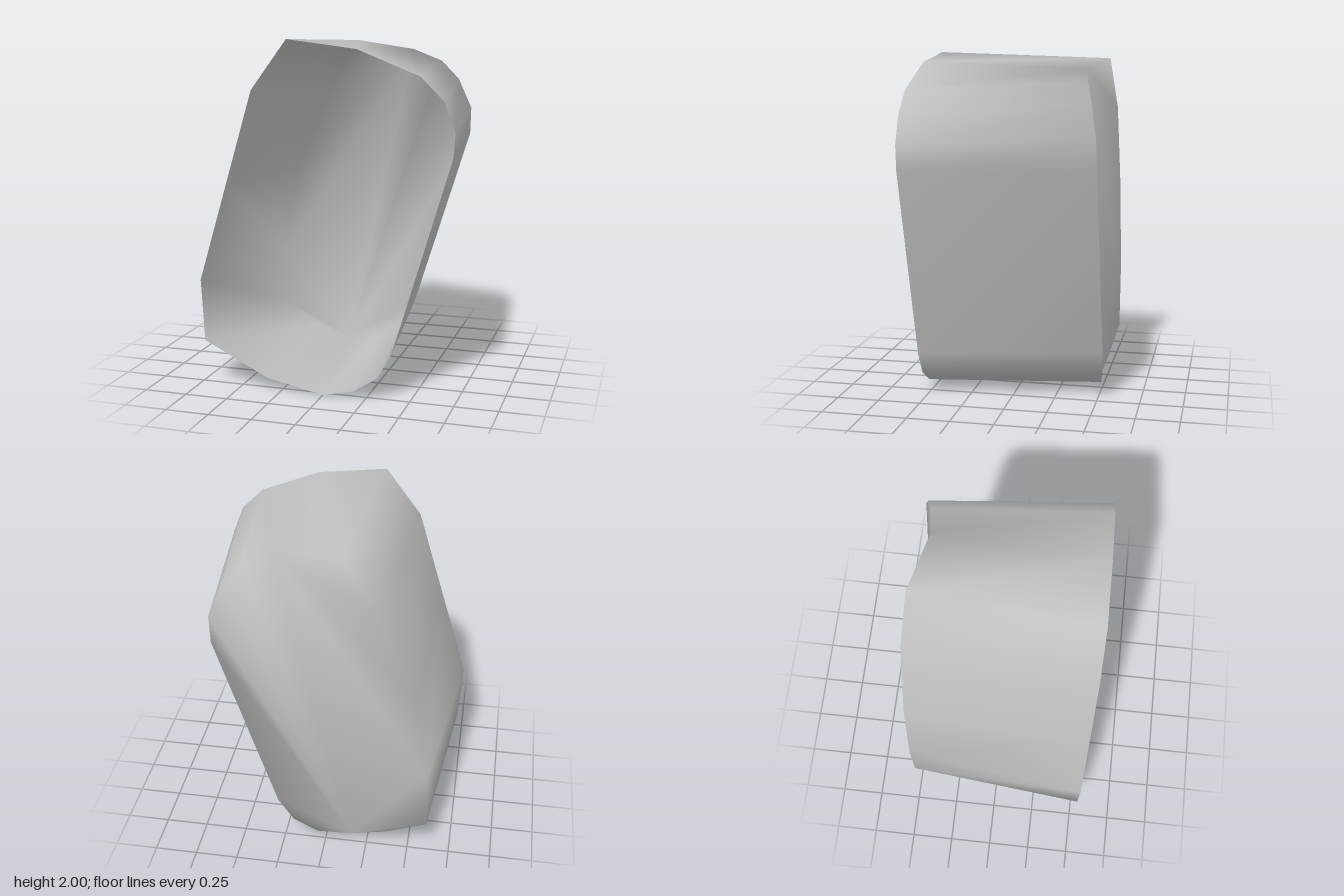
import * as THREE from 'three';

// Matching outlines, clockwise seen from the front: [x, y] at the rim, [x, y, z] at the back edge
const rim = [
  [-0.2, 2], [0.2, 1.95], [0.55, 1.81], [0.68, 1.68], [0.74, 1.52], [0.73, 1.38],
  [0.4, 0.27], [0.32, 0.13], [0.18, 0.04], [0, 0], [-0.34, 0.07], [-0.72, 0.26],
  [-0.74, 0.62], [-0.575, 1.17], [-0.41, 1.72],
];
const backEdge = [
  [-0.1, 1.97, -0.51], [0.28, 1.92, -0.43], [0.45, 1.85, -0.46], [0.55, 1.74, -0.495],
  [0.625, 1.56, -0.53], [0.62, 1.4, -0.535], [0.28, 0.3, -0.535], [0.19, 0.15, -0.525],
  [0.05, 0.05, -0.5], [-0.15, 0.03, -0.47], [-0.36, 0.1, -0.495], [-0.61, 0.23, -0.53],
  [-0.6, 0.6, -0.535], [-0.51, 1.14, -0.535], [-0.29, 1.675, -0.535],
];

// Smooth shell: walls from rim to back edge, and a back panel folded between a top and a bottom hub
function shellGeometry() {
  const n = rim.length;
  const points = [...rim.map(([x, y]) => [x, y, 0.535]), ...backEdge];
  const index = [];
  for (let i = 0; i < n; i++) {
    const j = (i + 1) % n;
    index.push(i, j, i + n, j, j + n, i + n);
  }
  // Fan from a hub over a run of back-edge points
  const fan = (hub, from, to) => {
    for (let i = from; i < to; i++) index.push(n + hub, n + (i % n), n + ((i + 1) % n));
  };
  const top = 1;
  const bottom = 9;
  const lowerSide = 12;
  fan(bottom, top, bottom - 1);
  fan(bottom, bottom + 1, lowerSide);
  fan(top, lowerSide, n);
  index.push(n + top, n + bottom, n + lowerSide);

  const geometry = new THREE.BufferGeometry();
  geometry.setAttribute('position', new THREE.Float32BufferAttribute(points.flat(), 3));
  geometry.setIndex(index);
  geometry.computeVertexNormals();
  return geometry;
}

export function createModel() {
  const group = new THREE.Group();
  group.name = 'openHousing';
  const grey = new THREE.MeshStandardMaterial({ color: 0xc0c0c0, side: THREE.DoubleSide });
  grey.name = 'light grey';

  // Tapered shell, open at the front
  const shell = new THREE.Mesh(shellGeometry(), grey);
  shell.name = 'shell';
  group.add(shell);
  return group;
}
